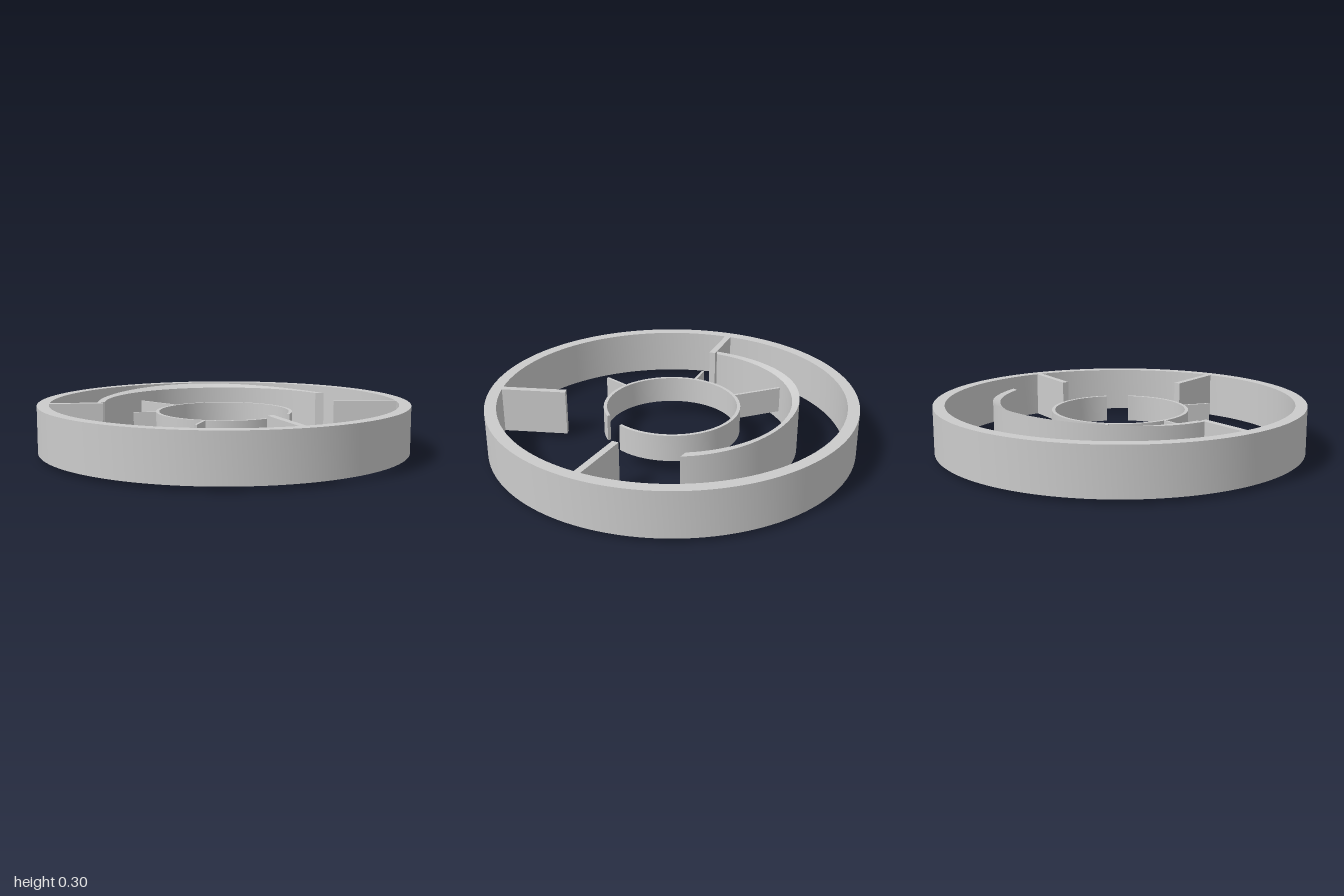
import * as THREE from 'three';
import { toCreasedNormals } from 'three/addons/utils/BufferGeometryUtils.js';

const RIM_LOW = 0.025, RIM_HIGH = 0.276;   // rim, spokes and vane
const HUB_LOW = 0.078, HUB_HIGH = 0.223;   // hub and fins
const RAD = Math.PI / 180;

// Curved wall swept counter-clockwise (seen from above).
// inner/outer: [radius, start degrees, end degrees]; flare grows the outer edge mid-way.
function curvedWall(inner, outer, low, high, segments, flare = 0, closed = false) {
  const positions = [], index = [];
  const at = ([r, a0, a1], t, y) => {
    const a = (a0 + (a1 - a0) * t) * RAD;
    return [r * Math.cos(a), y, -r * Math.sin(a)];
  };
  for (let i = 0; i <= segments; i++) {
    const t = i / segments;
    const f = flare * Math.sin(Math.PI * t) ** 2;
    positions.push(
      ...at(inner, t, low), ...at(outer, t, low - f),
      ...at(outer, t, high + f), ...at(inner, t, high));
  }
  for (let i = 0; i < segments; i++) {
    for (let j = 0; j < 4; j++) {
      const a = i * 4 + j, b = a + 4;
      const d = i * 4 + (j + 1) % 4, c = d + 4;
      index.push(a, b, d, b, c, d);
    }
  }
  if (!closed) {
    const e = segments * 4;
    index.push(0, 1, 2, 0, 2, 3, e, e + 2, e + 1, e, e + 3, e + 2);
  }
  const geometry = new THREE.BufferGeometry();
  geometry.setAttribute('position', new THREE.Float32BufferAttribute(positions, 3));
  geometry.setIndex(index);
  return toCreasedNormals(geometry, 30 * RAD);
}

export function createModel() {
  const model = new THREE.Group();
  const material = new THREE.MeshStandardMaterial({ color: 0xcccccc });

  function add(name, geometry) {
    const mesh = new THREE.Mesh(geometry, material);
    mesh.name = name;
    model.add(mesh);
    return mesh;
  }

  // Upright plate between two plan points [x, z]
  function plate(name, [x0, z0], [x1, z1], thickness, low, high) {
    const length = Math.hypot(x1 - x0, z1 - z0);
    const mesh = add(name, new THREE.BoxGeometry(length, high - low, thickness));
    mesh.position.set((x0 + x1) / 2, (low + high) / 2, (z0 + z1) / 2);
    mesh.rotation.y = -Math.atan2(z1 - z0, x1 - x0);
  }

  // Outer rim
  add('outerRim', curvedWall([0.937, 0, 360], [1, 0, 360], RIM_LOW, RIM_HIGH, 128, 0, true));

  // Spokes pointing inward from the rim
  const spokes = [
    ['leftSpoke', [0.595, -0.064], [0.95, -0.097]],
    ['frontSpoke', [0.273, 0.515], [0.439, 0.842]],
    ['rightSpoke', [-0.64, 0.135], [-0.93, 0.194]],
  ];
  for (const [name, from, to] of spokes) plate(name, from, to, 0.036, RIM_LOW, RIM_HIGH);

  // Middle vane, with its outer edge flaring up and down half-way along
  add('curvedVane', curvedWall([0.645, 39.5, 189], [0.683, 36.9, 190.3], RIM_LOW, RIM_HIGH, 72, 0.023));

  // Split hub ring
  add('splitHub', curvedWall([0.352, -14, 325.5], [0.37, -14, 326], HUB_LOW, HUB_HIGH, 96));

  // Thin fins on the hub
  const fins = [
    ['longFin', [-0.293, -0.217], [-0.535, -0.392]],
    ['shortFin', [-0.355, 0.076], [-0.48, 0.101]],
    ['frontFin', [-0.067, 0.355], [-0.095, 0.508]],
  ];
  for (const [name, from, to] of fins) plate(name, from, to, 0.015, HUB_LOW, HUB_HIGH);

  return model;
}
